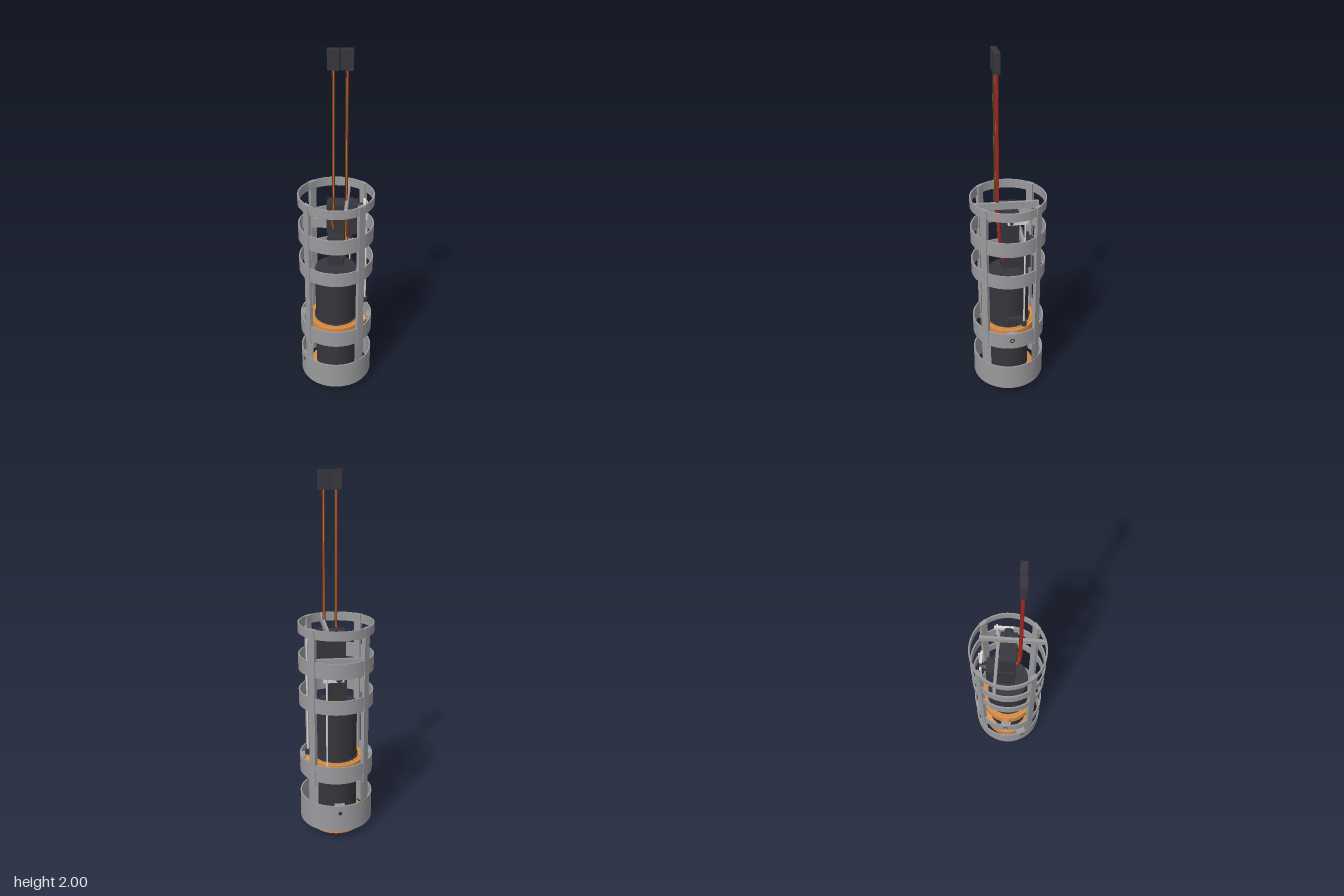
import * as THREE from 'three';
import { toCreasedNormals } from 'three/addons/utils/BufferGeometryUtils.js';

const mat = (name, color) => {
  const m = new THREE.MeshStandardMaterial({ color });
  m.name = name;
  return m;
};

export function createModel() {
  const root = new THREE.Group();
  root.name = 'gimballedMotorMount';
  const grey = mat('frameGrey', 0x9a9a9d), dark = mat('charcoal', 0x36353c);
  const orange = mat('orange', 0xd78c42), light = mat('lightGrey', 0xd8d8d8);
  const red = mat('wireRed', 0xa82222), gold = mat('wireGold', 0xb88a1e), brown = mat('wireBrown', 0x54401f);
  const stone = mat('nozzleGrey', 0xc0b9a6), pale = mat('nozzlePale', 0xfff6dc);

  const add = (name, geo, m, x = 0, y = 0, z = 0, parent = root) => {
    const mesh = new THREE.Mesh(geo, m);
    mesh.name = name;
    mesh.position.set(x, y, z);
    parent.add(mesh);
    return mesh;
  };
  // box given by its extents
  const box = (name, m, x0, x1, y0, y1, z0, z1) =>
    add(name, new THREE.BoxGeometry(x1 - x0, y1 - y0, z1 - z0), m, (x0 + x1) / 2, (y0 + y1) / 2, (z0 + z1) / 2);
  // box standing at a radius and angle about the vertical axis
  const radialBox = (name, m, a, r, w, h, d, y) => {
    const b = add(name, new THREE.BoxGeometry(w, h, d), m, Math.sin(a) * r, y, Math.cos(a) * r);
    b.rotation.y = a;
  };
  // solid of revolution with crisp edges
  const turned = (name, m, pts, phi = 0, len = Math.PI * 2, seg = 64) =>
    add(name, toCreasedNormals(new THREE.LatheGeometry(pts.map(p => new THREE.Vector2(...p)), seg, phi, len), 0.5), m);
  const tube = (name, m, ri, ro, y0, y1, phi, len, seg) =>
    turned(name, m, [[ro, y0], [ro, y1], [ri, y1], [ri, y0], [ro, y0]], phi, len, seg);
  // cylinder along an axis
  const rod = (name, m, axis, r, len, x, y, z, seg = 20) => {
    const g = new THREE.CylinderGeometry(r, r, len, seg);
    if (axis === 'x') g.rotateZ(-Math.PI / 2);
    if (axis === 'z') g.rotateX(Math.PI / 2);
    return add(name, g, m, x, y, z);
  };

  // outer frame: hoops, stringers and lower columns
  for (const [y0, y1] of [[0.05, 0.21], [0.35, 0.45], [0.76, 0.84], [0.96, 1.045], [1.17, 1.22]])
    tube('frameHoop', grey, 0.198, 0.206, y0, y1);
  for (let i = 0; i < 4; i++) {
    const a = Math.PI / 4 + i * Math.PI / 2;
    radialBox('stringer', grey, a, 0.199, 0.04, 0.895, 0.02, 0.7725);
    tube('lowerColumn', grey, 0.19, 0.203, 0.2, 0.36, a - 0.165, 0.33, 8);
  }

  // retaining blocks in the bottom hoop, with their screw holes
  for (const a of [Math.PI, -Math.PI / 3]) {
    radialBox('retainingBlock', grey, a, 0.181, 0.058, 0.08, 0.035, 0.165);
    const hole = rod('screwHole', dark, 'z', 0.011, 0.003, Math.sin(a) * 0.205, 0.165, Math.cos(a) * 0.205);
    hole.rotation.y = a;
  }

  // gimbal ring, pivots and bearing blocks
  tube('gimbalRing', orange, 0.122, 0.155, 0.36, 0.435);
  tube('gimbalLip', orange, 0.126, 0.136, 0.435, 0.439);
  for (const s of [-1, 1]) {
    rod('gimbalBoss', orange, 'x', 0.026, 0.03, s * 0.158, 0.405, 0);
    rod('pivotPin', orange, 'x', 0.008, 0.058, s * 0.1785, 0.405, 0);
    rod('pivotHole', dark, 'x', 0.014, 0.004, s * 0.2048, 0.405, 0);
    add('bearingBlock', new THREE.BoxGeometry(0.022, 0.09, 0.06), grey, s * 0.188, 0.4, 0);
    // body pivots at right angles
    rod('bodyPivot', dark, 'z', 0.026, 0.016, 0, 0.42, s * 0.12);
  }
  for (const a of [Math.PI * 0.75, -Math.PI * 0.25])
    radialBox('collarClip', dark, a, 0.143, 0.045, 0.022, 0.014, 0.085);

  // motor body with the sleeve inside the gimbal
  turned('motorBody', dark, [[0, 0.07], [0.117, 0.07], [0.117, 0.755], [0, 0.755]]);
  tube('bodySleeve', dark, 0.115, 0.124, 0.36, 0.442);

  // bottom collar with recessed nozzle
  turned('bottomCollar', orange, [[0, 0.035], [0.078, 0.03], [0.082, 0.012], [0.135, 0], [0.147, 0], [0.147, 0.09], [0.117, 0.1]]);
  turned('nozzlePlate', stone, [[0, 0.012], [0.08, 0.012], [0.08, 0.034]]);
  rod('nozzleHex', pale, 'y', 0.026, 0.01, 0, 0.011, 0, 6);

  // cross bars that carry the servos
  box('upperCrossBar', grey, 0.054, 0.07, 1.175, 1.215, -0.155, 0.195);
  box('lowerCrossBar', grey, -0.19, 0.175, 0.975, 1.03, -0.071, -0.055);

  // upper servo, output toward +x
  box('upperServo', dark, -0.048, 0.118, 1.0, 1.17, -0.045, 0.045);
  box('upperServoFlange', dark, 0.07, 0.09, 0.97, 1.175, -0.043, 0.043);
  rod('upperServoGear', dark, 'x', 0.024, 0.025, 0.13, 1.14, -0.005);
  rod('upperServoShaft', dark, 'x', 0.01, 0.02, 0.15, 1.14, 0);
  box('upperServoHorn', light, 0.145, 0.158, 1.127, 1.152, -0.086, 0.02);

  // lower servo, output toward the back
  box('lowerServo', dark, -0.045, 0.045, 0.79, 0.97, -0.12, 0.042);
  box('lowerServoFlange', dark, -0.043, 0.043, 0.765, 1.0, -0.088, -0.07);
  rod('lowerServoGear', dark, 'z', 0.026, 0.015, 0, 0.94, -0.126);
  rod('lowerServoShaft', dark, 'z', 0.016, 0.03, 0, 0.94, -0.145);
  box('lowerServoHorn', light, -0.026, 0.086, 0.928, 0.952, -0.16, -0.146);

  // push rods and their lower links
  rod('sidePushRod', light, 'y', 0.005, 0.65, 0.165, 0.82, -0.07, 10);
  rod('sideLinkEye', dark, 'y', 0.015, 0.03, 0.165, 0.495, -0.07);
  box('sideLinkArm', dark, 0.112, 0.143, 0.483, 0.508, -0.083, 0.015);
  box('sideLinkStub', dark, 0.14, 0.165, 0.483, 0.508, -0.083, -0.057);
  rod('backPushRod', light, 'y', 0.005, 0.54, 0.068, 0.68, -0.167, 10);
  rod('backLinkEye', orange, 'y', 0.015, 0.03, 0.068, 0.405, -0.167);
  box('backLinkArm', orange, 0.035, 0.075, 0.39, 0.42, -0.175, -0.13);

  // servo leads: three flat wires side by side, with a plug on top
  const leads = [
    { x: -0.0075, z: 0.066, w: 0.0295, order: [red, gold, brown],
      end: [[-0.008, 1.17, 0.066], [-0.018, 1.09, 0.056], [-0.01, 1.03, 0.042]] },
    { x: 0.058, z: 0.062, w: 0.031, order: [brown, gold, red],
      end: [[0.058, 1.17, 0.062], [0.057, 1.02, 0.055], [0.052, 0.92, 0.046], [0.04, 0.85, 0.036]] },
  ];
  const flat = 2.5;
  for (const { x, z, w, order, end } of leads) {
    box('plug', dark, x - w, x + w, 1.9, 2, z - 0.016, z + 0.016);
    order.forEach((m, i) => {
      const path = [[x, 1.905, z], [x, 1.6, z], [x, 1.3, z], ...end];
      // the wires fan out below the straight run
      const pts = path.map(([px, py, pz]) =>
        new THREE.Vector3(px + (i - 1) * (py < 1.12 ? 0.01 : 0.0045), py, pz / flat));
      const wire = new THREE.TubeGeometry(new THREE.CatmullRomCurve3(pts), 48, 0.0033, 10);
      add('wire', wire.scale(1, 1, flat), m);
    });
  }
  return root;
}
